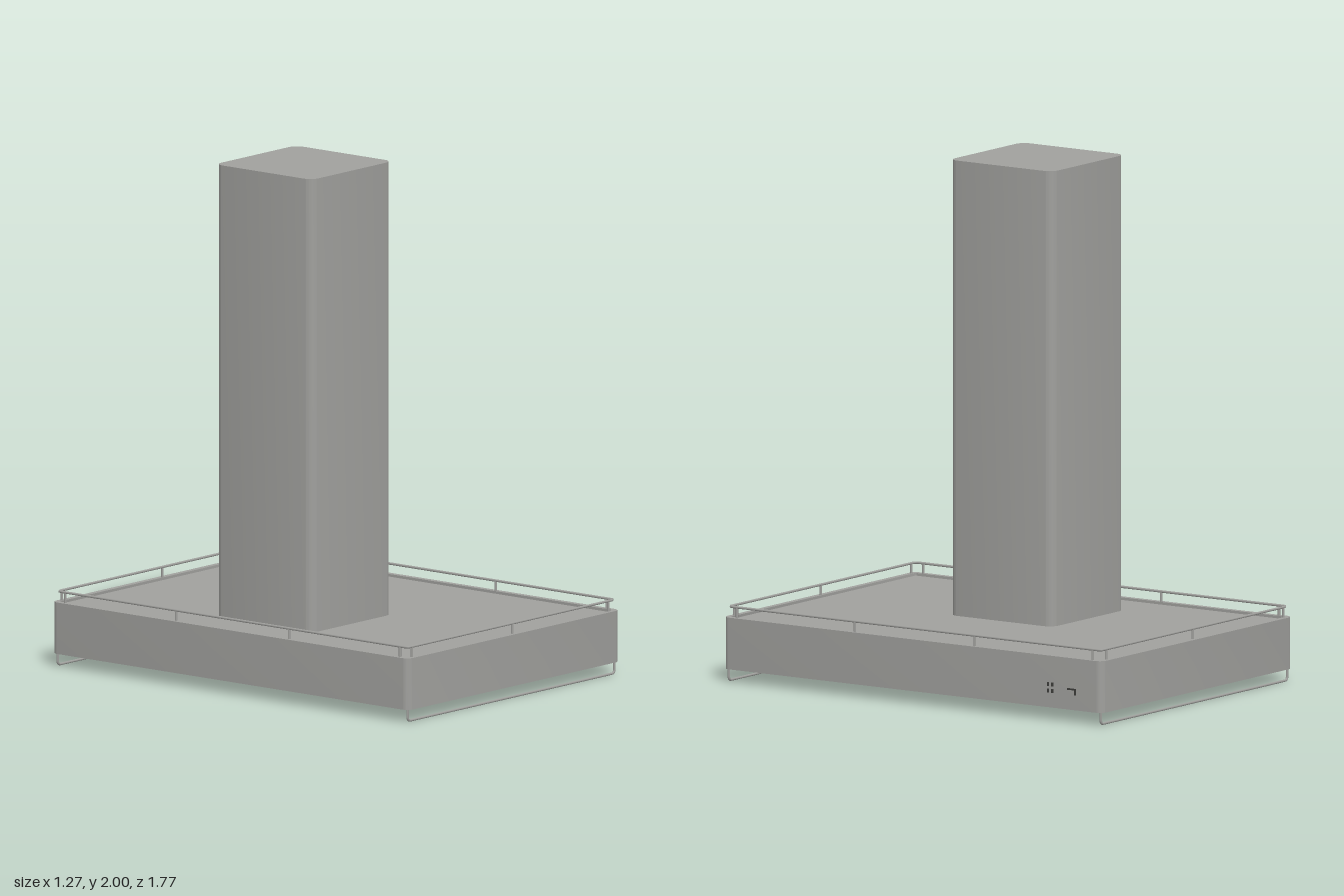
import * as THREE from 'three';
import { toCreasedNormals } from 'three/addons/utils/BufferGeometryUtils.js';

const steel = new THREE.MeshStandardMaterial({ color: 0xa0a09d });
steel.name = 'brushed steel';
const dark = new THREE.MeshStandardMaterial({ color: 0x3c3c3a });
dark.name = 'dark controls';

// Rounded rectangle outline, centred on the origin
function outline(w, d, r, Type = THREE.Shape) {
  const s = new Type(), x = w / 2, y = d / 2;
  s.moveTo(-x + r, -y);
  s.lineTo(x - r, -y);
  s.absarc(x - r, -y + r, r, -Math.PI / 2, 0, false);
  s.lineTo(x, y - r);
  s.absarc(x - r, y - r, r, 0, Math.PI / 2, false);
  s.lineTo(-x + r, y);
  s.absarc(-x + r, y - r, r, Math.PI / 2, Math.PI, false);
  s.lineTo(-x, -y + r);
  s.absarc(-x + r, -y + r, r, Math.PI, Math.PI * 1.5, false);
  return s;
}

// Upright rounded prism from y0 to y1, optionally hollowed to a rim
function prism(name, w, d, r, y0, y1, rim = 0) {
  const s = outline(w, d, r);
  if (rim) s.holes.push(outline(w - 2 * rim, d - 2 * rim, Math.max(r - rim, 0.006), THREE.Path));
  let g = new THREE.ExtrudeGeometry(s, { depth: y1 - y0, bevelEnabled: false, curveSegments: 8 });
  g.rotateX(-Math.PI / 2);
  g.translate(0, y0, 0);
  g = toCreasedNormals(g, 0.6);
  const m = new THREE.Mesh(g, steel);
  m.name = name;
  return m;
}

// Thin round bar through points with tight bends
function bar(name, points, closed = false, radius = 0.005) {
  const path = new THREE.CurvePath();
  const n = points.length, b = 0.015;
  const toward = (p, q) => p.clone().add(q.clone().sub(p).setLength(b));
  let last = closed ? null : points[0];
  for (let i = closed ? 0 : 1; i < (closed ? n : n - 1); i++) {
    const p = points[i], a = toward(p, points[(i + n - 1) % n]), c = toward(p, points[(i + 1) % n]);
    if (last) path.add(new THREE.LineCurve3(last, a));
    path.add(new THREE.QuadraticBezierCurve3(a, p, c));
    last = c;
  }
  path.add(new THREE.LineCurve3(last, closed ? toward(points[0], points[n - 1]) : points[n - 1]));
  const m = new THREE.Mesh(new THREE.TubeGeometry(path, 400, radius, 8, closed), steel);
  m.name = name;
  return m;
}

export function createModel() {
  const model = new THREE.Group();
  model.name = 'cookerHood';
  const W = 1.264, D = 1.77, cx = -0.003;

  // Canopy: outer shell with shallow recesses above and below
  const canopy = new THREE.Group();
  canopy.name = 'canopy';
  canopy.position.x = cx;
  canopy.add(
    prism('canopyShell', W, D, 0.03, 0.05, 0.25, 0.022),
    prism('canopyCore', W - 0.042, D - 0.042, 0.01, 0.062, 0.24),
    prism('filterFrame', W - 0.07, D - 0.07, 0.01, 0.056, 0.07, 0.012)
  );
  model.add(canopy);

  // Chimney
  const chimney = prism('chimney', 0.482, 0.482, 0.04, 0.238, 2);
  chimney.position.x = -0.195;
  model.add(chimney);

  // Gallery rail round the top
  const rx = 0.615, rz = 0.868, ry = 0.29;
  const gallery = new THREE.Group();
  gallery.name = 'galleryRail';
  gallery.position.x = cx;
  gallery.add(bar('topRail', [[-rx, -rz], [-rx, rz], [rx, rz], [rx, -rz]]
    .map(([x, z]) => new THREE.Vector3(x, ry, z)), true));
  const postGeometry = new THREE.CylinderGeometry(0.005, 0.005, 0.05, 8);
  const post = (x, z) => {
    const m = new THREE.Mesh(postGeometry, steel);
    m.name = 'railPost';
    m.position.set(x, 0.265, z);
    gallery.add(m);
  };
  for (const side of [-1, 1]) {
    for (const z of [-0.83, -0.28, 0.28, 0.83]) post(side * rx, z);
    for (const x of [-0.59, 0.008, 0.58]) post(x, side * rz);
  }
  model.add(gallery);

  // Hanging bars under the two short ends
  for (const z of [-0.868, 0.868]) {
    const pts = [[-rx, 0.055], [-rx, 0.005], [rx, 0.005], [rx, 0.055]];
    const hanger = bar(z > 0 ? 'frontHangingBar' : 'backHangingBar',
      pts.map(([x, y]) => new THREE.Vector3(x, y, z)));
    hanger.position.x = cx;
    model.add(hanger);
  }

  // Control marks on the left side: [z, y, length, height]
  const controls = new THREE.Group();
  controls.name = 'controls';
  const marks = [
    [-0.635, 0.14, 0.006, 0.014], [-0.655, 0.14, 0.006, 0.014],
    [-0.635, 0.115, 0.006, 0.014], [-0.655, 0.115, 0.006, 0.014],
    [-0.745, 0.13, 0.04, 0.006], [-0.762, 0.12, 0.006, 0.022]
  ];
  for (const [z, y, l, h] of marks) {
    const m = new THREE.Mesh(new THREE.BoxGeometry(0.008, h, l), dark);
    m.name = 'controlMark';
    m.position.set(0.63, y, z);
    controls.add(m);
  }
  model.add(controls);
  return model;
}
